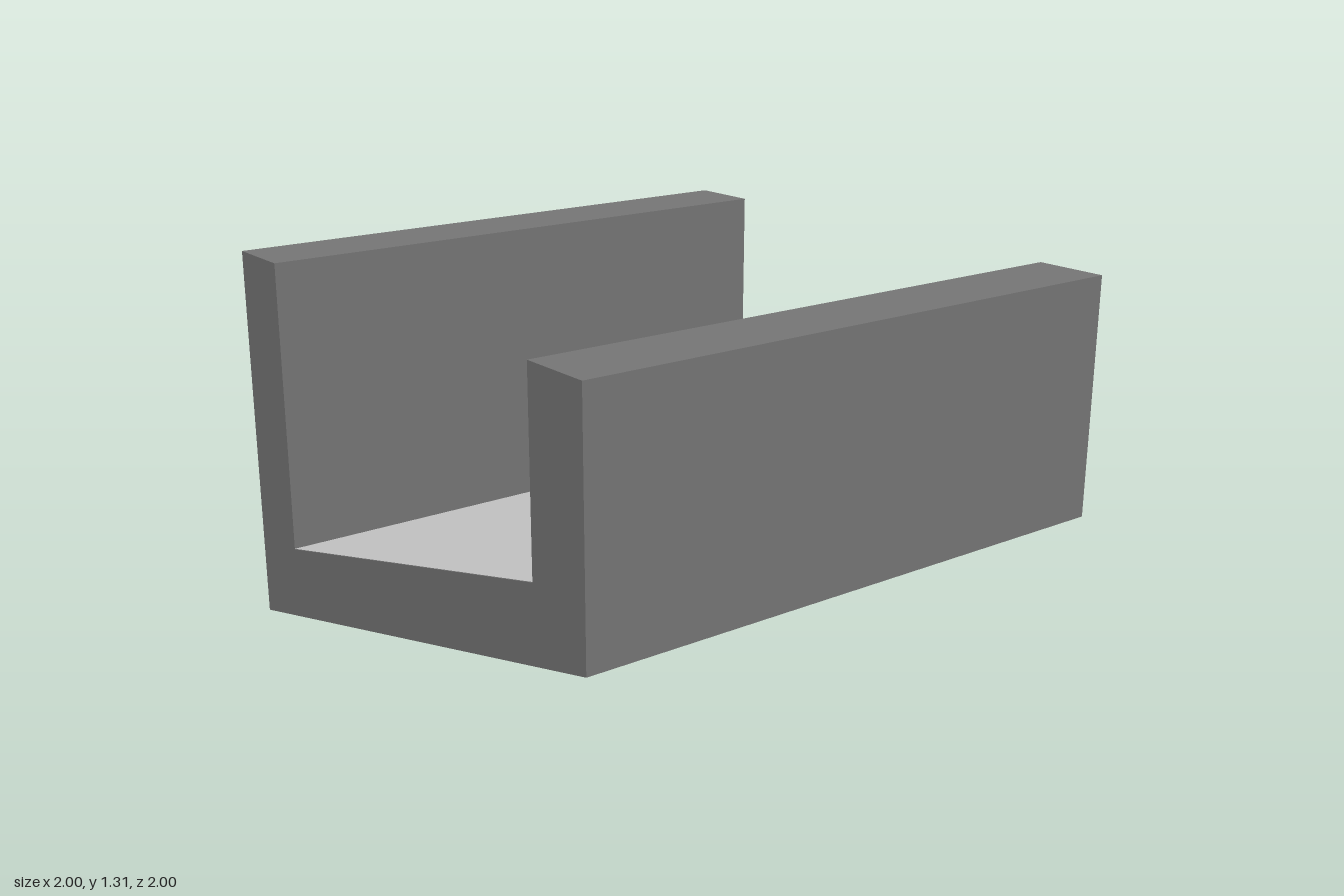
import * as THREE from 'three';

const DEPTH = 2, HALF = 1, INNER = 0.75, TOP = 1.3125;

// Sloping surfaces: the underside and the floor run parallel
const under = x => 0.25 + 0.25 * x;
const floorY = x => 0.5 + 0.25 * x;

export function createModel() {
  const group = new THREE.Group();
  const dark = new THREE.MeshStandardMaterial({ color: 0x757575, flatShading: true });
  const light = new THREE.MeshStandardMaterial({ color: 0xcccccc, flatShading: true });

  // U-shaped channel: two upright walls joined by a sloping base
  const profile = new THREE.Shape([
    [-HALF, under(-HALF)], [HALF, under(HALF)], [HALF, TOP], [INNER, TOP],
    [INNER, floorY(INNER)], [-INNER, floorY(-INNER)], [-INNER, TOP], [-HALF, TOP],
  ].map(([x, y]) => new THREE.Vector2(x, y)));
  const channelGeometry = new THREE.ExtrudeGeometry(profile, { depth: DEPTH, bevelEnabled: false });
  channelGeometry.translate(0, 0, -DEPTH / 2);
  const channel = new THREE.Mesh(channelGeometry, dark);
  channel.name = 'channel';
  group.add(channel);

  // Lighter floor surface, laid just above the base and sheared to its slope
  const floorGeometry = new THREE.PlaneGeometry(2 * INNER, DEPTH).rotateX(-Math.PI / 2);
  const p = floorGeometry.attributes.position;
  for (let i = 0; i < p.count; i++) p.setY(i, floorY(p.getX(i)) + 0.002);
  floorGeometry.computeVertexNormals();
  const floor = new THREE.Mesh(floorGeometry, light);
  floor.name = 'floor';
  group.add(floor);

  return group;
}
